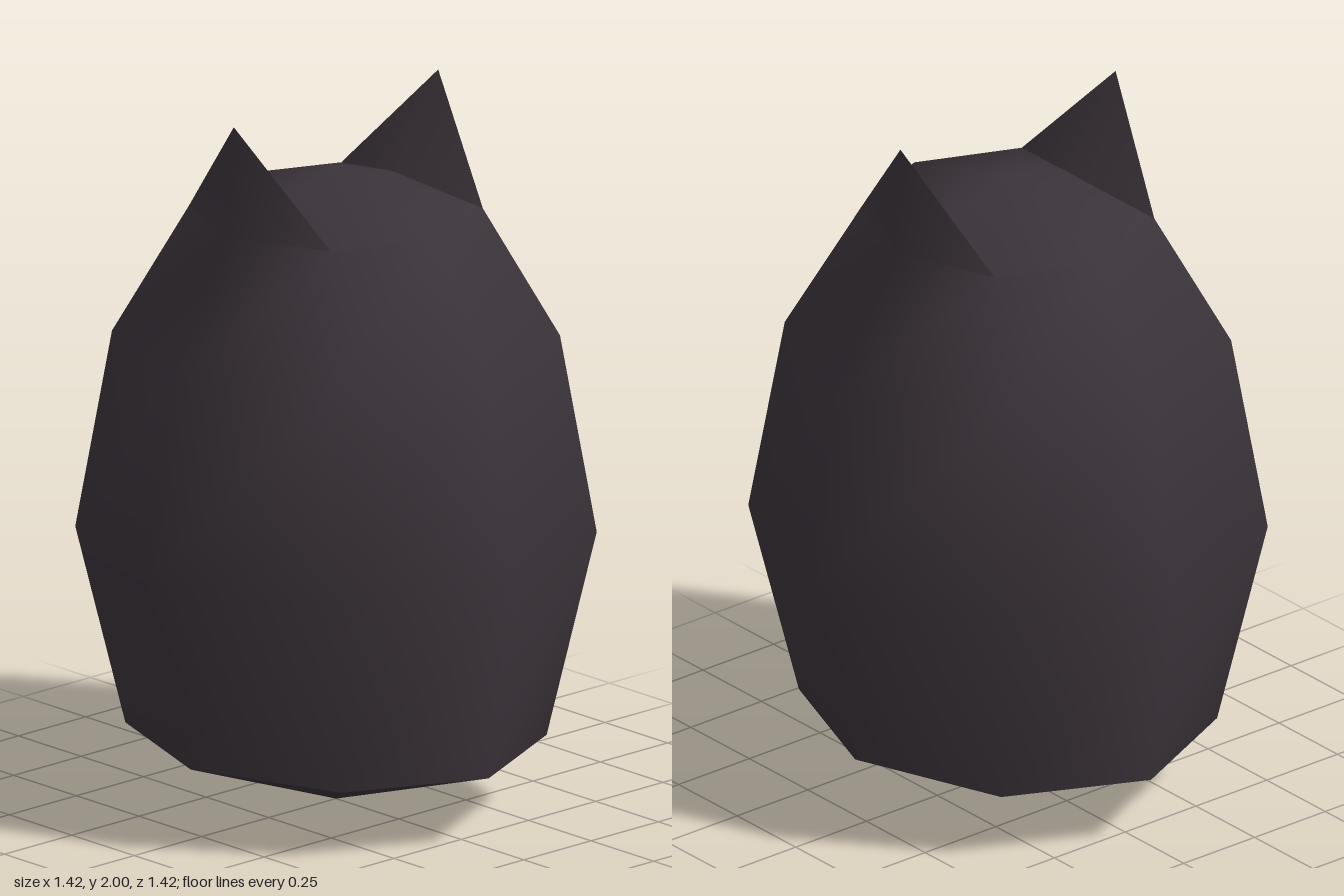
import * as THREE from 'three';
import { toCreasedNormals } from 'three/addons/utils/BufferGeometryUtils.js';

const SIDES = 8;
const CREASE = 0.95;

// Eight-sided horizontal ring, starting at the front (+z) and turning towards +x
function ring(y, r, zScale = 1) {
  return Array.from({ length: SIDES }, (_, i) => {
    const a = (i / SIDES) * Math.PI * 2;
    return new THREE.Vector3(Math.sin(a) * r, y, Math.cos(a) * r * zScale);
  });
}

function surface(triangles) {
  const g = new THREE.BufferGeometry().setFromPoints(triangles.flat());
  return toCreasedNormals(g, CREASE);
}

// Copies a run of triangles, keeping the normals smoothed across the whole skin
function slice(source, first, count) {
  const g = new THREE.BufferGeometry();
  for (const name of ['position', 'normal']) {
    const data = source.getAttribute(name).array.slice(first * 9, (first + count) * 9);
    g.setAttribute(name, new THREE.BufferAttribute(data, 3));
  }
  return g;
}

export function createModel() {
  const group = new THREE.Group();
  const fur = new THREE.MeshStandardMaterial({ color: 0x3b333a });
  fur.name = 'charcoal';

  const add = (parent, name, geometry) => {
    const mesh = new THREE.Mesh(geometry, fur);
    mesh.name = name;
    parent.add(mesh);
  };

  const rings = [ring(0.2, 0.61, 0.885), ring(0.77, 0.71), ring(1.33, 0.61), ring(1.69, 0.4)];
  const foot = new THREE.Vector3(0, 0, 0);
  const crown = new THREE.Vector3(0, 1.81, 0);
  const top = rings[3];

  // The crown stops at the inner foot of each ear
  const crownRim = top.map((p) => p.clone());
  crownRim[0].set(0, 1.747, 0.21);
  crownRim[4].set(0, 1.747, -0.21);

  // Body walls and crown
  const skin = [];
  const base = [];
  for (let i = 0; i < SIDES; i++) {
    const j = (i + 1) % SIDES;
    for (let k = 0; k < 3; k++) {
      const lo = rings[k], hi = rings[k + 1];
      skin.push([lo[i], lo[j], hi[j]], [lo[i], hi[j], hi[i]]);
    }
    skin.push([crownRim[i], crownRim[j], crown]);
    base.push([rings[0][j], rings[0][i], foot]);
  }
  const bodyCount = skin.length;

  // Ears: outer faces flow smoothly into the body, inner faces are sharp
  const ears = [['frontEar', 0, 1], ['backEar', 4, -1]].map(([name, mid, sign]) => {
    const tip = new THREE.Vector3(0, 2, 0.38 * sign);
    const left = top[(mid + 7) % SIDES], right = top[mid + 1];
    skin.push([left, top[mid], tip], [top[mid], right, tip]);
    const inner = [[right, crownRim[mid], tip], [crownRim[mid], left, tip]];
    return { name, inner };
  });

  const smooth = surface(skin);
  add(group, 'body', slice(smooth, 0, bodyCount));
  add(group, 'base', surface(base));
  ears.forEach(({ name, inner }, n) => {
    const ear = new THREE.Group();
    ear.name = name;
    add(ear, name + 'Outer', slice(smooth, bodyCount + n * 2, 2));
    add(ear, name + 'Inner', surface(inner));
    group.add(ear);
  });

  return group;
}
